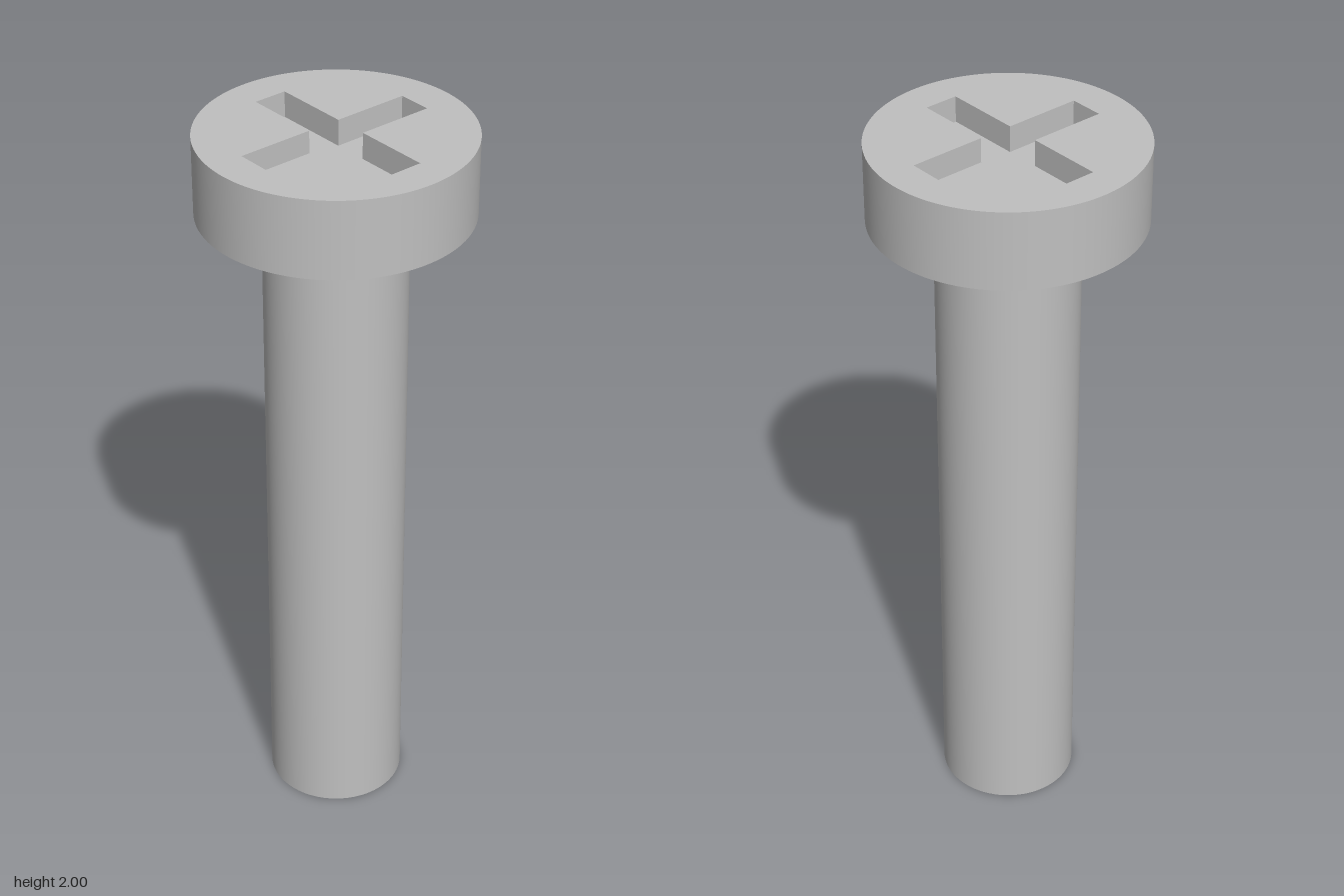
import * as THREE from 'three';

const HEAD_R = 0.352, HEAD_BOTTOM = 1.79, TOP = 2;
const SHAFT_R = 0.185, SLOT_DEPTH = 0.07, SEGMENTS = 96;

// Plus-shaped outline of the drive recess, counter-clockwise
function crossOutline(l, w) {
  const arm = [[l, -w], [l, w], [w, w]];
  const points = [];
  for (let i = 0; i < 4; i++) {
    const c = Math.round(Math.cos(i * Math.PI / 2)), s = Math.round(Math.sin(i * Math.PI / 2));
    for (const [x, y] of arm) points.push(new THREE.Vector2(x * c - y * s, x * s + y * c));
  }
  return points;
}

// Inward-facing walls that follow an outline between two heights
function recessWalls(outline, bottom, top) {
  const pos = [];
  outline.forEach((a, i) => {
    const b = outline[(i + 1) % outline.length];
    const a0 = [a.x, bottom, -a.y], a1 = [a.x, top, -a.y];
    const b0 = [b.x, bottom, -b.y], b1 = [b.x, top, -b.y];
    pos.push(...b0, ...a0, ...a1, ...b0, ...a1, ...b1);
  });
  const g = new THREE.BufferGeometry();
  g.setAttribute('position', new THREE.Float32BufferAttribute(pos, 3));
  g.computeVertexNormals();
  return g;
}

export function createModel() {
  const group = new THREE.Group();
  const steel = new THREE.MeshStandardMaterial({ color: 0xc0c0c0 });
  steel.name = 'steel grey';

  function add(name, geometry, y = 0) {
    const mesh = new THREE.Mesh(geometry, steel);
    mesh.name = name;
    mesh.position.y = y;
    group.add(mesh);
  }

  // Plain cylindrical shaft
  add('shaft', new THREE.CylinderGeometry(SHAFT_R, SHAFT_R, HEAD_BOTTOM, SEGMENTS), HEAD_BOTTOM / 2);

  // Head: rim and underside
  const headHeight = TOP - HEAD_BOTTOM;
  add('headRim', new THREE.CylinderGeometry(HEAD_R, HEAD_R, headHeight, SEGMENTS, 1, true), HEAD_BOTTOM + headHeight / 2);
  add('headUnderside', new THREE.RingGeometry(SHAFT_R, HEAD_R, SEGMENTS).rotateX(Math.PI / 2), HEAD_BOTTOM);

  // Head top with the cross cut out
  const cross = crossOutline(0.254, 0.046);
  const disc = new THREE.Shape().absarc(0, 0, HEAD_R, 0, Math.PI * 2);
  disc.holes.push(new THREE.Path(cross));
  add('headTop', new THREE.ShapeGeometry(disc, SEGMENTS).rotateX(-Math.PI / 2), TOP);

  // Recess walls and floor
  add('slotWalls', recessWalls(cross, TOP - SLOT_DEPTH, TOP));
  add('slotFloor', new THREE.ShapeGeometry(new THREE.Shape(cross)).rotateX(-Math.PI / 2), TOP - SLOT_DEPTH);

  return group;
}
